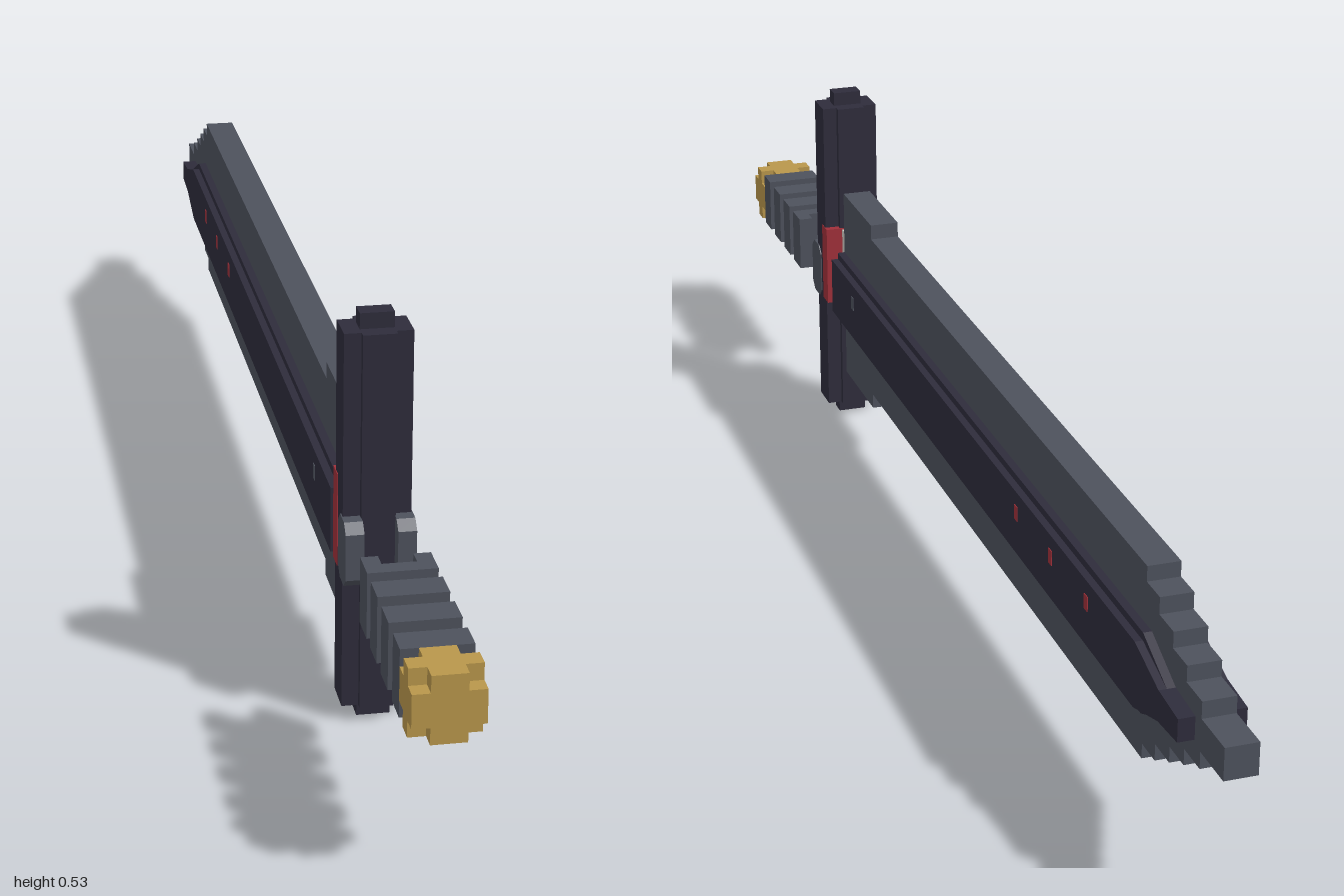
import * as THREE from 'three';

const mat = (name, color) => {
  const m = new THREE.MeshStandardMaterial({ color });
  m.name = name;
  return m;
};

export function createModel() {
  const steel = mat('steel', 0x4d515c);
  const dark = mat('darkMetal', 0x2e2c3b);
  const gold = mat('gold', 0xb8964b);
  const red = mat('red', 0xa0303a);
  const pale = mat('pale', 0xcfccc4);
  const CY = 0.236; // height of the sword's axis
  const root = new THREE.Group();

  const group = (name) => {
    const g = new THREE.Group();
    g.name = name;
    root.add(g);
    return g;
  };
  const add = (parent, name, geo, material) => {
    const m = new THREE.Mesh(geo, material);
    m.name = name;
    parent.add(m);
  };
  // box from ranges [min, max] on each axis
  const box = (parent, name, material, [x0, x1], [y0, y1], [z0, z1]) => {
    const geo = new THREE.BoxGeometry(x1 - x0, y1 - y0, z1 - z0);
    geo.translate((x0 + x1) / 2, (y0 + y1) / 2, (z0 + z1) / 2);
    add(parent, name, geo, material);
  };
  const sym = (h, c = 0) => [c - h, c + h];
  // side profile of [z, y] points, extruded across x
  const prism = (parent, name, material, pts, x0, x1) => {
    const shape = new THREE.Shape(pts.map(([z, y]) => new THREE.Vector2(z, y)));
    const geo = new THREE.ExtrudeGeometry(shape, { depth: x1 - x0, bevelEnabled: false });
    geo.rotateY(-Math.PI / 2).translate(x1, 0, 0);
    add(parent, name, geo, material);
  };
  // profile mirrored above and below the axis, from [z, halfHeight] points
  const mirrored = (half) => [
    ...half.map(([z, h]) => [z, CY + h]),
    ...half.slice().reverse().map(([z, h]) => [z, CY - h]),
  ];

  // pommel: notched cube
  const pommel = group('pommel');
  for (const [hx, hy, hz] of [[0.042, 0.021, 0.0325], [0.021, 0.042, 0.0325], [0.042, 0.042, 0.012]])
    box(pommel, 'pommelBlock', gold, sym(hx), sym(hy, CY), sym(hz, 0.9675));

  // grip: core with ribs, ending in two prongs
  const grip = group('grip');
  box(grip, 'gripCore', steel, sym(0.021), sym(0.021, CY), [0.725, 0.94]);
  for (const [z0, z1] of [[0.897, 0.935], [0.832, 0.872], [0.769, 0.808], [0.725, 0.747]])
    box(grip, 'gripRib', steel, sym(0.042), sym(0.042, CY), [z0, z1]);
  for (const s of [-1, 1])
    box(grip, 'gripProng', steel, sym(0.0105, s * 0.0315), sym(0.042, CY), [0.704, 0.726]);

  // crossguard
  const guard = group('guard');
  const GZ = 0.5675;
  box(guard, 'guardBar', dark, sym(0.042), [0.021, 0.513], sym(0.024, GZ));
  box(guard, 'guardRidge', dark, sym(0.021), [0.021, 0.513], sym(0.033, GZ));
  box(guard, 'guardCaps', dark, sym(0.021), [0, 0.533], sym(0.012, GZ));
  const boss = [[0.57, 0.03], [0.582, 0.042], [0.608, 0.042], [0.62, 0.03]];
  for (const s of [-1, 1])
    prism(guard, 'guardBoss', steel, mirrored(boss), s * 0.032 - 0.0115, s * 0.032 + 0.0115);
  box(guard, 'redCollar', red, sym(0.043), [0.198, 0.32], [0.533, 0.56]);
  box(guard, 'paleCollar', pale, sym(0.018), [0.2, 0.318], [0.508, 0.535]);

  // blade: flat plate with a stepped tip
  const blade = group('blade');
  const steps = [
    [0.51, 0.36, 0.149], [0.36, -0.765, 0.127], [-0.765, -0.805, 0.107],
    [-0.805, -0.848, 0.085], [-0.848, -0.89, 0.064], [-0.89, -0.935, 0.043], [-0.935, -1, 0.021],
  ];
  const outline = steps.flatMap(([a, b, h]) => [[a, h], [b, h]]);
  prism(blade, 'bladePlate', steel, mirrored(outline), -0.021, 0.021);

  // raised dark spine in two layers, tapering to the tip
  const spine = (h) => mirrored([[0.51, h], [-0.785, h], [-0.86, 0.02], [-0.918, 0.015]]);
  prism(blade, 'spineLower', dark, spine(0.053), -0.032, 0.032);
  prism(blade, 'spineUpper', dark, spine(0.043), -0.042, 0.042);

  // small inlays along the spine
  for (const s of [-1, 1]) {
    for (const z of [-0.37, -0.5, -0.627])
      box(blade, 'redInlay', red, sym(0.001, s * 0.042), [0.24, 0.26], sym(0.006, z));
    box(blade, 'steelInlay', steel, sym(0.001, s * 0.042), [0.24, 0.26], sym(0.006, 0.393));
  }

  return root;
}
